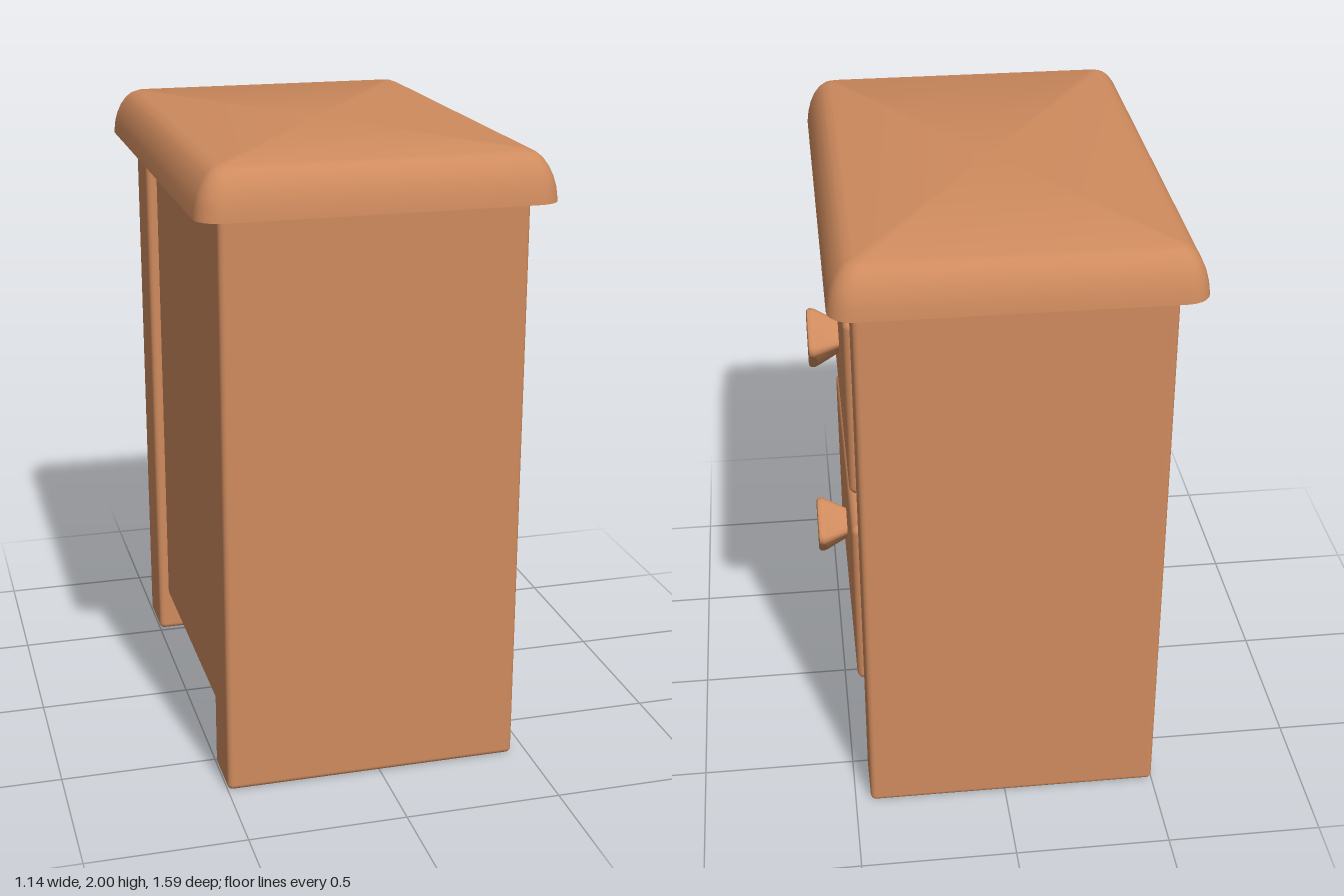
import * as THREE from 'three';
import { toCreasedNormals } from 'three/addons/utils/BufferGeometryUtils.js';
import { RoundedBoxGeometry } from 'three/addons/geometries/RoundedBoxGeometry.js';

const wood = new THREE.MeshStandardMaterial({ color: 0xcf8b5e });

function add(parent, name, geometry) {
  const mesh = new THREE.Mesh(geometry, wood);
  mesh.name = name;
  parent.add(mesh);
  return mesh;
}

// Softly rounded board given by its limits on each axis
function board(parent, name, [x0, x1], [y0, y1], [z0, z1], radius) {
  const geometry = new RoundedBoxGeometry(x1 - x0, y1 - y0, z1 - z0, 3, radius);
  geometry.translate((x0 + x1) / 2, (y0 + y1) / 2, (z0 + z1) / 2);
  return add(parent, name, geometry);
}

// Capped loft through rounded rectangles, each [height, halfX, halfZ, cornerRadius]
function loft(sections) {
  const steps = 6, n = 4 * (steps + 1), position = [], index = [];
  for (const [y, hx, hz, r] of sections) {
    for (let corner = 0; corner < 4; corner++) {
      const sx = corner === 0 || corner === 3 ? 1 : -1;
      const sz = corner < 2 ? 1 : -1;
      for (let k = 0; k <= steps; k++) {
        const a = (corner + k / steps) * Math.PI / 2;
        position.push(sx * (hx - r) + r * Math.cos(a), y, sz * (hz - r) + r * Math.sin(a));
      }
    }
  }
  const last = sections.length - 1;
  const bottom = (last + 1) * n, top = bottom + 1;
  position.push(0, sections[0][0], 0, 0, sections[last][0], 0);
  for (let j = 0; j < n; j++) {
    const next = (j + 1) % n;
    for (let i = 0; i < last; i++) {
      const a = i * n + j, b = i * n + next;
      index.push(a, a + n, b, b, a + n, b + n);
    }
    index.push(bottom, j, next, top, last * n + next, last * n + j);
  }
  const geometry = new THREE.BufferGeometry();
  geometry.setAttribute('position', new THREE.Float32BufferAttribute(position, 3));
  geometry.setIndex(index);
  return toCreasedNormals(geometry, 0.7);
}

export function createModel() {
  const cabinet = new THREE.Group();
  cabinet.name = 'bedsideCabinet';

  // Thick side panels that reach the floor
  board(cabinet, 'sidePanelNear', [-0.5, 0.45], [0, 1.86], [0.515, 0.71], 0.018);
  board(cabinet, 'sidePanelFar', [-0.5, 0.45], [0, 1.86], [-0.705, -0.51], 0.018);

  // Carcass between the sides, and the thin back panel that hangs lower
  board(cabinet, 'carcass', [-0.43, 0.42], [0.2, 1.86], [-0.53, 0.53], 0.03);
  const back = add(cabinet, 'backPanel', new THREE.BoxGeometry(0.04, 1.7, 1.04));
  back.position.set(-0.445, 1.0, 0);

  // Overhanging top with a rounded upper edge: [height, inset]
  const edge = [[1.85, 0], [1.89, 0.005], [1.92, 0.013], [1.95, 0.026], [1.975, 0.043], [1.99, 0.06], [2, 0.085]];
  const top = add(cabinet, 'top', loft(edge.map(([y, inset]) =>
    [y, 0.548 - inset, 0.796 - inset, Math.max(0.075 - 0.6 * inset, 0.02)])));
  top.position.x = -0.027;

  // Two drawers, each with a flared diamond knob: [reach, half side, corner radius]
  const flare = [[-0.02, 0.044, 0.018], [0, 0.046, 0.018], [0.07, 0.079, 0.028], [0.082, 0.083, 0.03],
    [0.09, 0.083, 0.03], [0.097, 0.08, 0.028], [0.1, 0.074, 0.025]];
  for (const [label, y] of [['lower', 0.663], ['upper', 1.395]]) {
    const drawer = new THREE.Group();
    drawer.name = label + 'Drawer';
    cabinet.add(drawer);
    board(drawer, 'drawerFront', [0.3, 0.47], [y - 0.304, y + 0.304], [-0.512, 0.518], 0.025);
    const knob = add(drawer, 'knob', loft(flare.map(([reach, half, r]) => [reach, half, half, r]))
      .rotateY(Math.PI / 4).rotateZ(-Math.PI / 2));
    knob.position.set(0.47, y, -0.02);
  }
  return cabinet;
}
